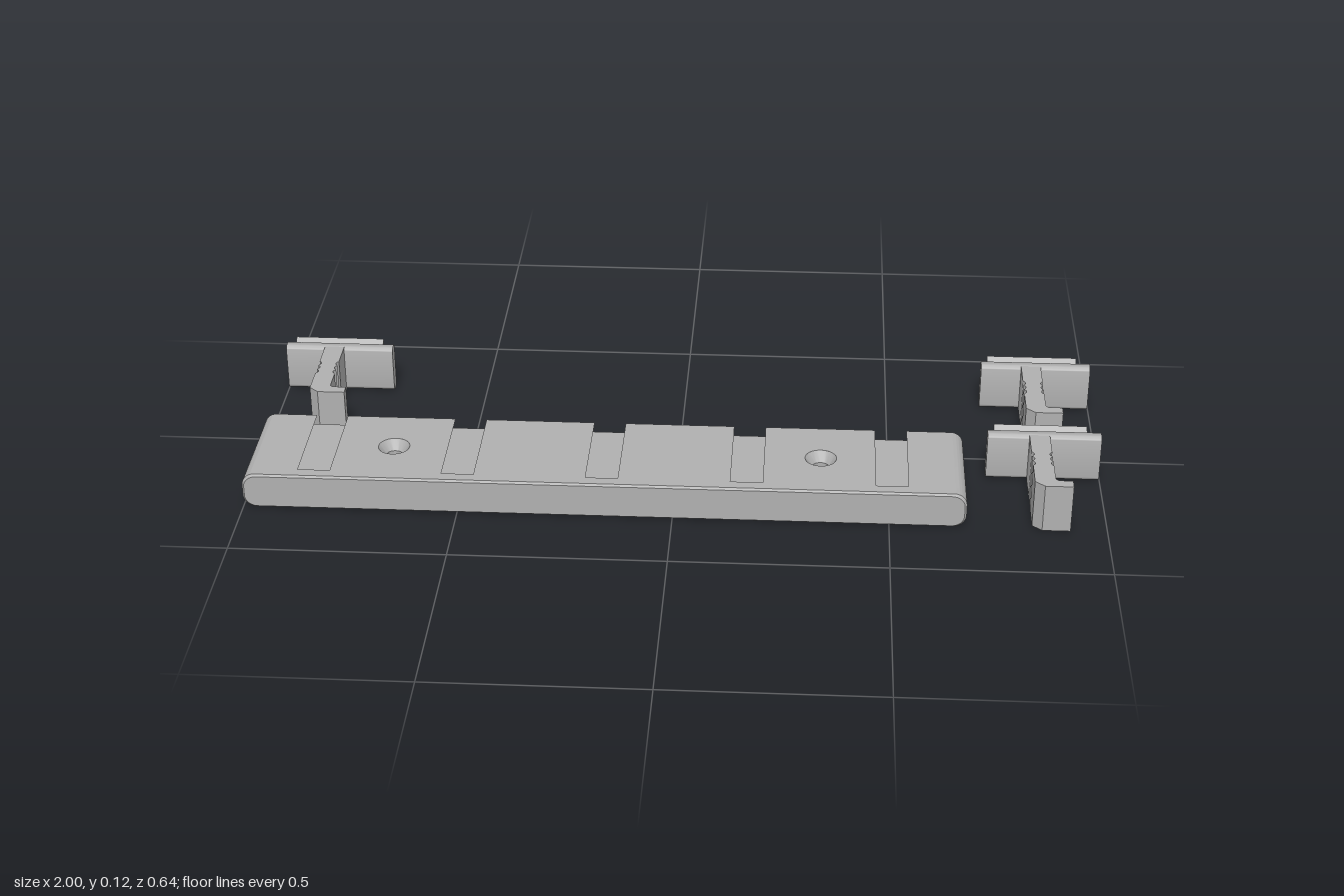
import * as THREE from 'three';
import { toCreasedNormals } from 'three/addons/utils/BufferGeometryUtils.js';

const BAR = { x0: -1, x1: 0.677, h: 0.086, back: 0.02, front: 0.318, round: 0.03 };
const SLOTS = [-0.835, -0.5, -0.165, 0.17, 0.505];
const SLOT_END = 0.285, SLOT_DEPTH = 0.027;
const HOLES = [-0.665, 0.34], HOLE_Z = 0.165, HOLE_HALF = 0.05;
const LIP = 0.006;
const HOOK_H = 0.118;

export function createModel() {
  const grey = new THREE.MeshStandardMaterial({ color: 0xb0b0b0 });
  grey.name = 'plain grey';
  const root = new THREE.Group();
  root.name = 'hookRail';

  const add = (parent, name, geometry) => {
    const mesh = new THREE.Mesh(toCreasedNormals(geometry, 0.6), grey);
    mesh.name = name;
    parent.add(mesh);
    return mesh;
  };
  const extrude = (shape, depth) =>
    new THREE.ExtrudeGeometry(shape, { depth, bevelEnabled: false, curveSegments: 10 });

  // Rail section in x and y, with undercut slots and rounded outer ends
  const railSection = (x0, x1, slots, flare = 0) => {
    const { h, round: r } = BAR;
    const rl = x0 === BAR.x0, rr = x1 === BAR.x1;
    const s = new THREE.Shape();
    s.moveTo(rl ? x0 + r : x0, 0);
    if (rr) {
      s.lineTo(x1 - r, 0);
      s.absarc(x1 - r, r, r, -Math.PI / 2, 0);
      s.absarc(x1 - r, h - r, r, 0, Math.PI / 2);
    } else {
      s.lineTo(x1, 0);
      s.lineTo(x1, h);
    }
    for (const c of [...slots].reverse()) {
      if (c < x0 || c > x1) continue;
      const top = 0.0375 + flare, low = 0.058 + flare / 2;
      s.lineTo(c + top, h);
      s.lineTo(c + low, h - SLOT_DEPTH);
      s.lineTo(c - low, h - SLOT_DEPTH);
      s.lineTo(c - top, h);
    }
    if (rl) {
      s.lineTo(x0 + r, h);
      s.absarc(x0 + r, h - r, r, Math.PI / 2, Math.PI);
      s.absarc(x0 + r, r, r, Math.PI, Math.PI * 1.5);
    } else {
      s.lineTo(x0, h);
    }
    s.closePath();
    return s;
  };

  const rail = new THREE.Group();
  rail.name = 'rail';
  root.add(rail);
  const railPiece = (name, x0, x1, slots, z0, z1) =>
    add(rail, name, extrude(railSection(x0, x1, slots), z1 - z0).translate(0, 0, z0));

  // Slotted body, split around the two screw holes
  const cuts = [BAR.x0, ...HOLES.flatMap((x) => [x - HOLE_HALF, x + HOLE_HALF]), BAR.x1];
  for (let i = 0; i < cuts.length; i += 2) {
    railPiece('slottedBody', cuts[i], cuts[i + 1], SLOTS, BAR.back + LIP, SLOT_END);
  }
  railPiece('frontStrip', BAR.x0, BAR.x1, [], SLOT_END, BAR.front - LIP);

  // Thin lips that bevel the front and back edges
  const lip = (name, slots, z0, outerZ, flare) => {
    const g = extrude(railSection(BAR.x0, BAR.x1, slots, flare), LIP).translate(0, 0, z0);
    const p = g.attributes.position;
    const mid = (BAR.x0 + BAR.x1) / 2, half = (BAR.x1 - BAR.x0) / 2, hy = BAR.h / 2;
    for (let i = 0; i < p.count; i++) {
      if (Math.abs(p.getZ(i) - outerZ) > 1e-4) continue;
      p.setX(i, mid + (p.getX(i) - mid) * (1 - 0.005 / half));
      p.setY(i, hy + (p.getY(i) - hy) * (1 - 0.004 / hy));
    }
    g.computeVertexNormals();
    add(rail, name, g);
  };
  lip('backLip', SLOTS, BAR.back, BAR.back, 0.008);
  lip('frontLip', [], BAR.front - LIP, BAR.front, 0);

  // Blocks with countersunk screw holes
  for (const x of HOLES) {
    const s = new THREE.Shape();
    const z0 = BAR.back + LIP;
    s.moveTo(x - HOLE_HALF, -SLOT_END);
    s.lineTo(x + HOLE_HALF, -SLOT_END);
    s.lineTo(x + HOLE_HALF, -z0);
    s.lineTo(x - HOLE_HALF, -z0);
    s.closePath();
    s.holes.push(new THREE.Path().absarc(x, -HOLE_Z, 0.037, 0, Math.PI * 2, true));
    const block = new THREE.ExtrudeGeometry(s, { depth: BAR.h, bevelEnabled: false, curveSegments: 32 });
    add(rail, 'screwBlock', block.rotateX(-Math.PI / 2));
    const profile = [[0.037, BAR.h], [0.02, 0.062], [0.02, 0], [0.037, 0]];
    const sink = new THREE.LatheGeometry(profile.map(([r, y]) => new THREE.Vector2(r, y)), 32);
    add(rail, 'countersink', sink.translate(x, 0, HOLE_Z));
  }

  // One hook: dovetail, rounded plate, ribbed stem with a bent foot
  const makeHook = (x, z) => {
    const hook = new THREE.Group();
    hook.name = 'hook';
    hook.position.set(x, 0, z);
    root.add(hook);

    // Sections in -z and y, run along x
    const alongX = (shape, length, cx) =>
      extrude(shape, length).rotateY(Math.PI / 2).translate(cx - length / 2, 0, 0);
    const a = -0.091, b = -0.057, r = 0.012;
    const plate = new THREE.Shape();
    plate.absarc(b - r, r, r, -Math.PI / 2, 0);
    plate.absarc(b - r, HOOK_H - r, r, 0, Math.PI / 2);
    plate.absarc(a + r, HOOK_H - r, r, Math.PI / 2, Math.PI);
    plate.absarc(a + r, r, r, Math.PI, Math.PI * 1.5);
    plate.closePath();
    add(hook, 'plate', alongX(plate, 0.267, 0));

    const points = (list) => new THREE.Shape(list.map(([u, v]) => new THREE.Vector2(u, v)));
    const tail = points([[b - 0.002, 0.025], [-0.033, 0.002], [-0.033, 0.116], [b - 0.002, 0.093]]);
    add(hook, 'dovetail', alongX(tail, 0.22, -0.007));

    // Plan of stem and foot in x and -z
    const L = -0.036, R = 0.012;
    const plan = new THREE.Shape();
    const ribs = [0.163, 0.184, 0.205, 0.226];
    plan.moveTo(L, -0.085);
    plan.lineTo(L, -ribs[0]);
    for (let i = 1; i < ribs.length; i++) {
      plan.quadraticCurveTo(L + 0.012, -(ribs[i - 1] + ribs[i]) / 2, L, -ribs[i]);
    }
    plan.lineTo(L, -0.3);
    plan.lineTo(L + 0.022, -0.32);
    plan.lineTo(0.051, -0.32);
    plan.lineTo(0.051, -0.293);
    plan.lineTo(R + 0.006, -0.293);
    plan.lineTo(R, -0.286);
    plan.lineTo(R, -ribs[3]);
    for (let i = ribs.length - 2; i >= 0; i--) {
      plan.quadraticCurveTo(R - 0.012, -(ribs[i + 1] + ribs[i]) / 2, R, -ribs[i]);
    }
    plan.lineTo(R, -0.085);
    plan.closePath();
    add(hook, 'stemAndFoot', extrude(plan, HOOK_H).rotateX(-Math.PI / 2));
  };
  makeHook(0.8645, 0);
  makeHook(0.8645, -0.345);
  makeHook(-0.8665, -0.353);

  return root;
}
